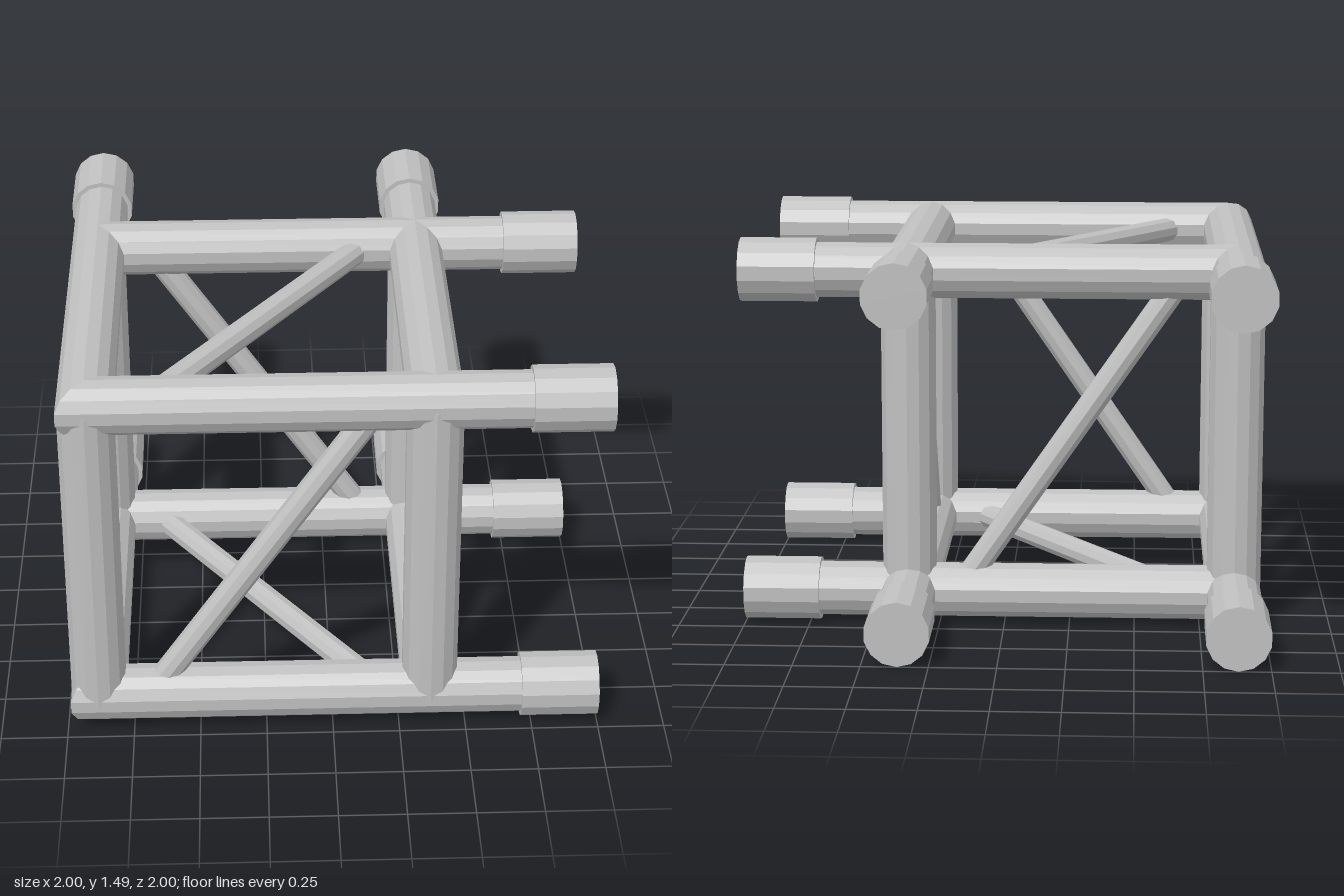
import * as THREE from 'three';

const LEFT = -0.88, RIGHT = 0.366;    // tube axes in x
const FRONT = 0.88, BACK = -0.366;    // tube axes in z
const LOW = 0.125, HIGH = 1.37;       // tube axes in y
const TUBE_R = 0.105, SLEEVE_R = 0.122, ROD_R = 0.05;

export function createModel() {
  const group = new THREE.Group();
  const metal = new THREE.MeshStandardMaterial({ color: 0xc0c0c0 });

  // Straight faceted bar between two points; reshape may move its vertices
  function bar(name, from, to, radius, sides, reshape) {
    const a = new THREE.Vector3(...from), b = new THREE.Vector3(...to);
    const dir = b.clone().sub(a);
    const length = dir.length();
    dir.normalize();
    // Keep a facet edge on top of the bars running along x
    const start = Math.abs(dir.x) > 0.99 ? Math.PI / 2 : 0;
    let geo = new THREE.CylinderGeometry(radius, radius, length, sides, 1, false, start);
    geo.applyQuaternion(new THREE.Quaternion().setFromUnitVectors(new THREE.Vector3(0, 1, 0), dir));
    const mid = a.add(b).multiplyScalar(0.5);
    geo.translate(mid.x, mid.y, mid.z);
    if (reshape) {
      const p = geo.attributes.position, v = new THREE.Vector3();
      for (let i = 0; i < p.count; i++) {
        reshape(v.fromBufferAttribute(p, i));
        p.setXYZ(i, v.x, v.y, v.z);
      }
    }
    geo = geo.toNonIndexed();
    geo.computeVertexNormals();
    const mesh = new THREE.Mesh(geo, metal);
    mesh.name = name;
    group.add(mesh);
  }

  // Mitre cuts for the front left corner
  const mitreX = v => { if (Math.abs(v.x - LEFT) < 1e-4) v.x = LEFT - (v.z - FRONT); };
  const mitreZ = v => { if (Math.abs(v.z - FRONT) < 1e-4) v.z = FRONT - (v.x - LEFT); };

  for (const [level, y] of [['lower', LOW], ['upper', HIGH]]) {
    // Chords running sideways, with end sleeves
    for (const z of [FRONT, BACK]) {
      bar(level + 'CrossChord', [LEFT, y, z], [0.98, y, z], TUBE_R, 14, z === FRONT ? mitreX : null);
      bar(level + 'CrossSleeve', [0.71, y, z], [1, y, z], SLEEVE_R, 14);
    }
    // Chords running backwards, with end sleeves
    for (const x of [LEFT, RIGHT]) {
      bar(level + 'LongChord', [x, y, -0.98], [x, y, FRONT], TUBE_R, 14, x === LEFT ? mitreZ : null);
      bar(level + 'LongSleeve', [x, y, -1], [x, y, -0.71], SLEEVE_R, 14);
    }
  }

  // Uprights at the four corners
  for (const x of [LEFT, RIGHT])
    for (const z of [FRONT, BACK])
      bar('upright', [x, LOW, z], [x, HIGH, z], TUBE_R, 14);

  // Diagonal braces, one per face; ends stop inside the chords
  const x0 = -0.68, x1 = 0.175, z0 = 0.68, z1 = -0.175;
  bar('frontBrace', [x0, LOW, FRONT], [x1, HIGH, FRONT], ROD_R, 10);
  bar('backBrace', [x0, HIGH, BACK], [x1, LOW, BACK], ROD_R, 10);
  bar('rightBrace', [RIGHT, LOW, z0], [RIGHT, HIGH, z1], ROD_R, 10);
  bar('leftBrace', [LEFT, HIGH, z0], [LEFT, LOW, z1], ROD_R, 10);
  bar('topBrace', [x0, HIGH, FRONT], [x1, HIGH, BACK], ROD_R, 10);
  bar('bottomBrace', [x0, LOW, BACK], [x1, LOW, FRONT], ROD_R, 10);

  return group;
}
